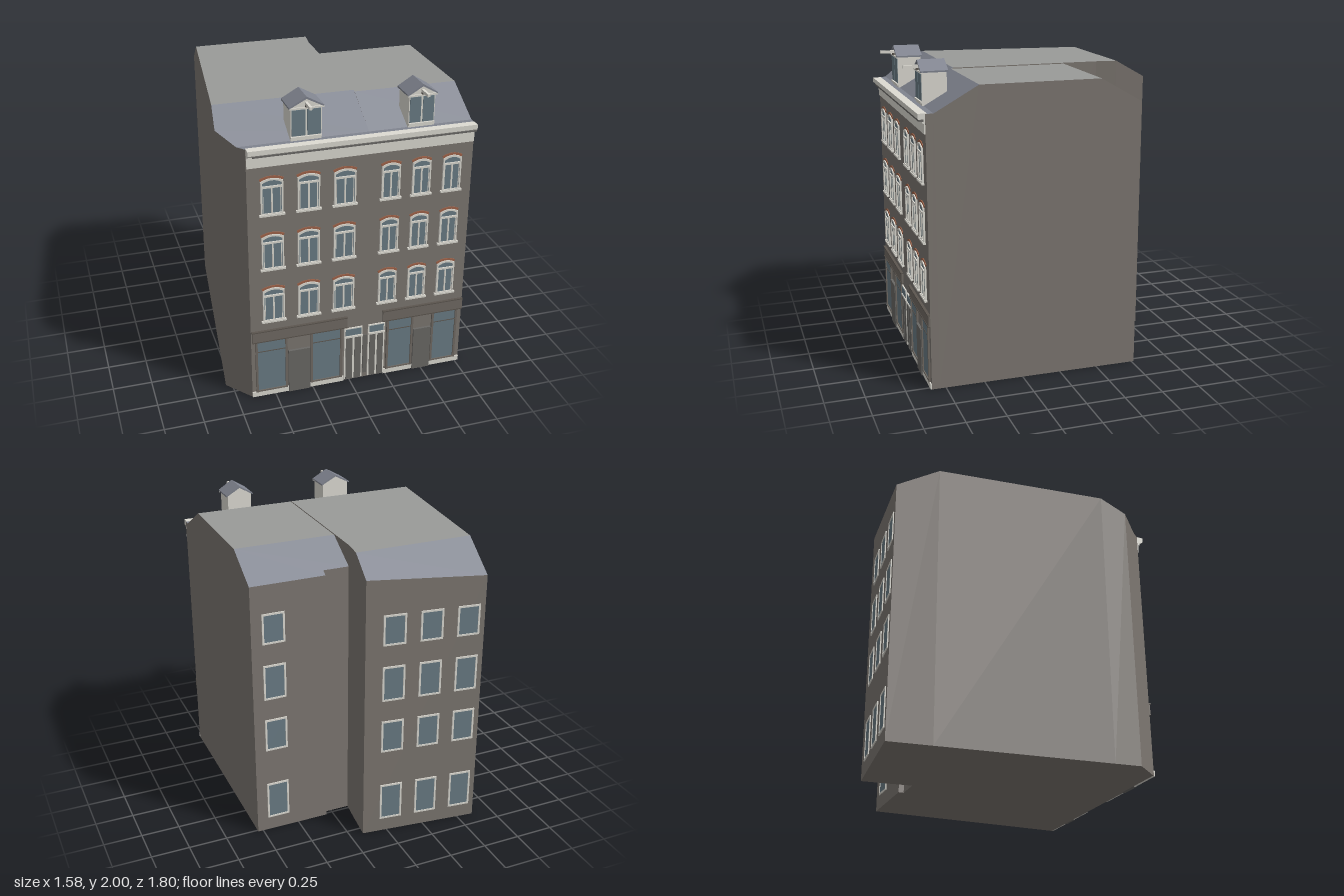
import * as THREE from 'three';

const mat = (color, side = THREE.FrontSide) => new THREE.MeshStandardMaterial({ color, side });
const M = {
  wall: mat(0x7d7771), top: mat(0x9a9b99), slate: mat(0x80848f), white: mat(0xdddbd3), glass: mat(0x6a7c85),
  dark: mat(0x6a6966), fascia: mat(0x716b64), brick: mat(0xa0644a), timber: mat(0x5c564f),
};
M.wall.flatShading = M.top.flatShading = M.slate.flatShading = true;
const FRONT = 0.84;

function add(parent, name, geometry, material) {
  const mesh = new THREE.Mesh(geometry, material);
  mesh.name = name;
  parent.add(mesh);
  return mesh;
}

// Box given by its limits
function box(parent, name, material, x0, x1, y0, y1, z0, z1) {
  const m = add(parent, name, new THREE.BoxGeometry(x1 - x0, y1 - y0, z1 - z0), material);
  m.position.set((x0 + x1) / 2, (y0 + y1) / 2, (z0 + z1) / 2);
  return m;
}

function extrude(parent, name, material, shape, depth, z = 0) {
  const m = add(parent, name, new THREE.ExtrudeGeometry(shape, { depth, bevelEnabled: false, curveSegments: 8 }), material);
  m.position.z = z;
  return m;
}

function triangles(points) {
  const g = new THREE.BufferGeometry();
  g.setAttribute('position', new THREE.Float32BufferAttribute(points.flat(), 3));
  g.computeVertexNormals();
  return g;
}

// House body: footprint [x, z] running counter-clockwise, roof height depends on z only
function house(parent, name, outline, ridge, zFront, zBack) {
  const g = new THREE.Group();
  g.name = name;
  parent.add(g);
  const slope = (ridge - 1.73) / (0.79 - zFront);
  const h = z => z > zFront ? Math.max(1.73, ridge - (z - zFront) * slope) : z < zBack ? ridge - (zBack - z) * 0.575 : ridge;
  const walls = [];
  outline.forEach(([ax, az], i) => {
    const [bx, bz] = outline[(i + 1) % outline.length];
    const a0 = [ax, 0, az], b0 = [bx, 0, bz], a1 = [ax, h(az), az], b1 = [bx, h(bz), bz];
    walls.push(a0, b0, b1, a0, b1, a1);
  });
  const cap = (pts, height, flip) => {
    const faces = THREE.ShapeUtils.triangulateShape(pts.map(([x, z]) => new THREE.Vector2(x, -z)), []);
    return faces.flatMap(f => (flip ? [f[2], f[1], f[0]] : f).map(i => [pts[i][0], height(pts[i][1]), pts[i][1]]));
  };
  add(g, 'walls', triangles(walls), M.wall);
  add(g, 'floor', triangles(cap(outline, () => 0, true)), M.wall);
  const zone = (lo, hi) => outline.filter(p => p[1] >= lo - 1e-6 && p[1] <= hi + 1e-6);
  add(g, 'frontLedge', triangles(cap(zone(0.79, 1), h)), M.slate);
  add(g, 'frontRoofSlope', triangles(cap(zone(zFront, 0.79), h)), M.slate);
  add(g, 'flatRoof', triangles(cap(zone(zBack, zFront), h)), M.top);
  add(g, 'backRoofSlope', triangles(cap(zone(-1, zBack), h)), M.slate);
}

// Rectangle whose top edge bows up by rise
function archShape(hw, y0, y1, rise) {
  const s = new THREE.Shape();
  s.moveTo(-hw, y0);
  s.lineTo(hw, y0);
  s.lineTo(hw, y1);
  s.quadraticCurveTo(0, y1 + 2 * rise, -hw, y1);
  s.lineTo(-hw, y0);
  return s;
}

// Arched sash window with sill and brick arch
function archedWindow(parent, x, y, w) {
  const g = new THREE.Group(), hw = w / 2, top = 0.227, rise = 0.018;
  g.name = 'archedWindow';
  g.position.set(x, y, FRONT);
  parent.add(g);
  const frame = archShape(hw, 0.01, top, rise);
  frame.holes.push(archShape(hw - 0.009, 0.018, top - 0.012, rise));
  extrude(g, 'frame', M.white, frame, 0.012);
  extrude(g, 'glass', M.glass, archShape(hw - 0.005, 0.014, top - 0.006, rise), 0.004);
  box(g, 'transom', M.white, -hw, hw, 0.183, 0.196, 0, 0.012);
  box(g, 'mullion', M.white, -0.005, 0.005, 0.014, 0.19, 0, 0.01);
  for (const s of [-1, 1]) box(g, 'sash', M.white, s * hw * 0.78 - 0.002, s * hw * 0.78 + 0.002, 0.014, 0.19, 0, 0.007);
  box(g, 'sill', M.white, -hw - 0.01, hw + 0.01, 0, 0.012, -0.005, 0.017);
  const arch = new THREE.Shape();
  arch.moveTo(-hw, top);
  arch.quadraticCurveTo(0, top + 2 * rise, hw, top);
  arch.lineTo(hw + 0.006, top + 0.014);
  arch.quadraticCurveTo(0, top + 0.014 + 2 * rise, -hw - 0.006, top + 0.014);
  extrude(g, 'brickArch', M.brick, arch, 0.005);
}

// Four plain windows above each other on a wall running from a to b
function backColumn(parent, a, b, t) {
  const g = new THREE.Group(), dx = b[0] - a[0], dz = b[1] - a[1], hw = 0.068;
  g.name = 'backWindows';
  g.position.set(a[0] + dx * t, 0, a[1] + dz * t);
  g.rotation.y = Math.atan2(-dz, dx);
  parent.add(g);
  for (const [y0, y1] of [[0.1, 0.345], [0.605, 0.815], [0.97, 1.195], [1.35, 1.54]]) {
    box(g, 'glass', M.glass, -hw, hw, y0, y1, -0.004, 0.003);
    for (const s of [-1, 1]) box(g, 'jamb', M.white, s * hw - 0.006, s * hw + 0.006, y0, y1, -0.004, 0.007);
    for (const y of [y0, y1]) box(g, 'rail', M.white, -hw - 0.006, hw + 0.006, y - 0.006, y + 0.006, -0.004, 0.007);
  }
}

// Dormer with glazed front, gable roof and hoist beam
function dormer(parent, x, hw) {
  const g = new THREE.Group(), eave = 1.935, apex = 1.985;
  g.name = 'dormer';
  g.position.x = x;
  parent.add(g);
  const body = new THREE.Shape([[-hw, 1.73], [hw, 1.73], [hw, eave], [0, apex], [-hw, eave]].map(p => new THREE.Vector2(...p)));
  extrude(g, 'dormerBody', M.white, body, 0.155, 0.645);
  const o = hw + 0.012;
  const roof = new THREE.Shape([[-o, eave - 0.005], [0, apex], [o, eave - 0.005], [o, eave + 0.005], [0, apex + 0.014], [-o, eave + 0.005]].map(p => new THREE.Vector2(...p)));
  extrude(g, 'dormerRoof', M.slate, roof, 0.17, 0.638);
  box(g, 'gableTrim', M.white, -o, o, eave - 0.01, eave, 0.79, 0.808);
  for (const s of [-1, 1]) box(g, 'dormerGlass', M.glass, s * hw / 2 - hw / 2 + 0.006, s * hw / 2 + hw / 2 - 0.006, 1.76, 1.92, 0.79, 0.803);
  box(g, 'dormerSill', M.white, -hw, hw, 1.745, 1.757, 0.79, 0.81);
  box(g, 'hoistBeam', M.white, -0.008, 0.008, 1.948, 1.966, 0.77, 0.895);
  box(g, 'hoistBlock', M.timber, -0.007, 0.007, 1.936, 1.948, 0.8, 0.815);
}

// Shopfront: fascia board, two framed panes and a door between them
function shopfront(parent, x0, x1, panes, door) {
  const g = new THREE.Group();
  g.name = 'shopfront';
  parent.add(g);
  box(g, 'fascia', M.fascia, x0, x1, 0.417, 0.485, FRONT - 0.01, 0.852);
  box(g, 'fasciaCap', M.timber, x0 - 0.004, x1, 0.485, 0.492, FRONT - 0.01, 0.857);
  box(g, 'fasciaFoot', M.timber, x0, x1, 0.411, 0.418, FRONT - 0.01, 0.855);
  for (const [a, b] of panes) {
    box(g, 'shopGlass', M.glass, a, b, 0.04, 0.411, FRONT - 0.01, 0.844);
    for (const x of [a, b]) box(g, 'post', M.fascia, x - 0.007, x + 0.007, 0.035, 0.411, FRONT - 0.01, 0.852);
    box(g, 'bottomRail', M.fascia, a, b, 0.035, 0.046, FRONT - 0.01, 0.85);
    box(g, 'glazingBar', M.timber, a, b, 0.334, 0.339, FRONT - 0.01, 0.847);
  }
  box(g, 'shopDoor', M.dark, door[0], door[1], 0, 0.312, FRONT - 0.01, 0.856);
}

// White double entrance door with a glazed light above
function entrance(parent, x0, x1) {
  const g = new THREE.Group(), c = (x0 + x1) / 2;
  g.name = 'entrance';
  parent.add(g);
  box(g, 'doorFrame', M.white, x0, x1, 0.01, 0.402, FRONT - 0.01, 0.848);
  box(g, 'fanlight', M.glass, x0 + 0.008, x1 - 0.008, 0.347, 0.394, FRONT, 0.85);
  box(g, 'doorHead', M.white, x0, x1, 0.33, 0.343, FRONT, 0.853);
  for (const [a, b] of [[x0 + 0.01, c - 0.007], [c + 0.007, x1 - 0.01]]) box(g, 'doorLeaf', M.dark, a, b, 0.012, 0.328, FRONT, 0.851);
}

export function createModel() {
  const model = new THREE.Group();
  model.name = 'townHouses';

  // Two adjoining houses
  house(model, 'leftHouse', [
    [-0.652, FRONT], [0.115, FRONT], [0.115, 0.79], [0.115, 0.5], [0.125, -0.48], [0.142, -0.62], [0.162, -0.81],
    [-0.61, -0.9], [-0.642, -0.62], [-0.77, 0.5], [-0.79, 0.67], [-0.693, 0.79]], 1.89, 0.5, -0.62);
  house(model, 'rightHouse', [
    [0.115, FRONT], [0.776, FRONT], [0.776, 0.79], [0.777, 0.515], [0.783, -0.25], [0.785, -0.515], [0.295, -0.515],
    [0.295, -0.48], [0.125, -0.48], [0.122, -0.25], [0.115, 0.515], [0.115, 0.79]], 1.884, 0.515, -0.25);

  // Cornice profile swept along the front
  const profile = [[0.83, 1.61], [0.848, 1.61], [0.848, 1.672], [0.858, 1.675], [0.858, 1.685], [0.872, 1.69], [0.885, 1.703], [0.885, 1.733], [0.83, 1.733]];
  const cornice = new THREE.Shape(profile.map(([z, y]) => new THREE.Vector2(-z, y)));
  const c = extrude(model, 'cornice', M.white, cornice, 1.425);
  c.rotation.y = Math.PI / 2;
  c.position.x = -0.65;
  box(model, 'corniceGroove', M.dark, -0.62, 0.776, 1.685, 1.698, 0.85, 0.878);

  // Upper floor windows
  for (const y of [0.55, 0.92, 1.29]) {
    for (const x of [-0.502, -0.276, -0.049]) archedWindow(model, x, y, 0.138);
    for (const x of [0.243, 0.441, 0.641]) archedWindow(model, x, y, 0.12);
  }

  // Ground floor
  for (const [a, b] of [[-0.652, -0.04], [0.235, 0.776]]) box(model, 'plinth', M.white, a, b, 0, 0.036, FRONT - 0.01, 0.848);
  shopfront(model, -0.645, -0.02, [[-0.62, -0.425], [-0.257, -0.06]], [-0.412, -0.27]);
  shopfront(model, 0.222, 0.776, [[0.258, 0.428], [0.572, 0.738]], [0.438, 0.56]);
  entrance(model, -0.038, 0.085);
  entrance(model, 0.123, 0.237);
  box(model, 'pierPanel', M.dark, 0.09, 0.118, 0.036, 0.33, FRONT - 0.01, 0.846);

  // Back windows
  for (const t of [0.24, 0.55, 0.86]) backColumn(model, [0.162, -0.81], [-0.61, -0.9], t);
  backColumn(model, [0.785, -0.515], [0.295, -0.515], 0.295);

  // Dormers
  dormer(model, -0.277, 0.094);
  dormer(model, 0.441, 0.083);
  return model;
}
